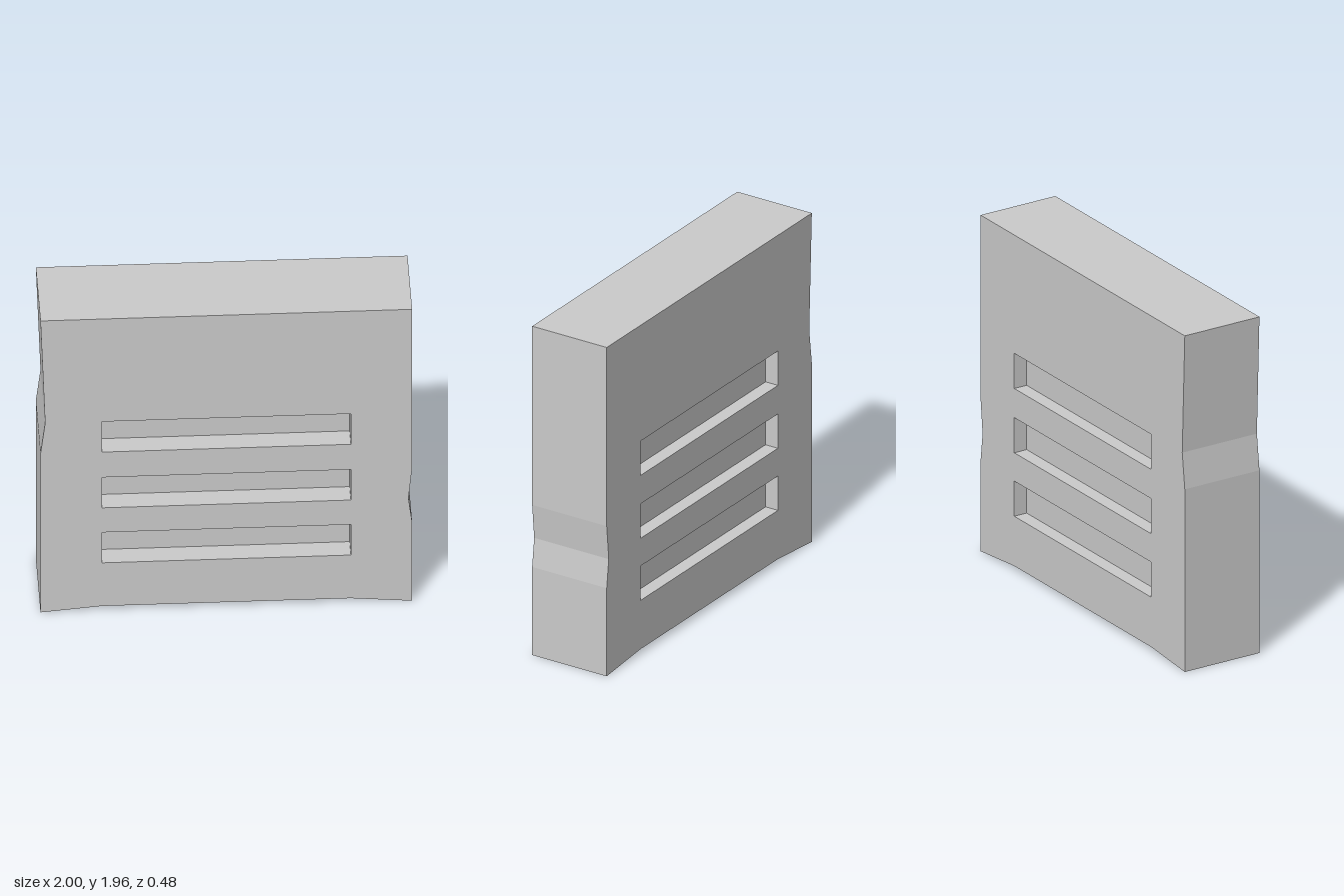
import * as THREE from 'three';

const HALF_DEPTH = 0.24;
const SLOT_HALF_WIDTH = 0.67;
const SLOTS = [[0.32, 0.525], [0.69, 0.895], [1.065, 1.27]]; // bottom, top
const FRONT_FLOOR = 0.12;  // z of the recess floors
const BACK_FLOOR = -0.16;

export function createModel() {
  const group = new THREE.Group();
  group.name = 'slottedSlab';
  const material = new THREE.MeshStandardMaterial({ color: 0xcccccc, flatShading: true });

  // Slab outline with worn sides and a hollowed underside
  const outline = new THREE.Shape([
    [-1, 0], [-0.67, 0.03], [0.67, 0.03], [1, 0],
    [1, 0.525], [0.98, 0.69], [1, 0.895], [1, 1.96],
    [-1, 1.96], [-0.975, 1.27], [-1, 1.065],
  ].map(([x, y]) => new THREE.Vector2(x, y)));

  for (const [bottom, top] of SLOTS) {
    outline.holes.push(new THREE.Path([
      new THREE.Vector2(-SLOT_HALF_WIDTH, bottom),
      new THREE.Vector2(-SLOT_HALF_WIDTH, top),
      new THREE.Vector2(SLOT_HALF_WIDTH, top),
      new THREE.Vector2(SLOT_HALF_WIDTH, bottom),
    ]));
  }

  const slabGeometry = new THREE.ExtrudeGeometry(outline, { depth: 2 * HALF_DEPTH, bevelEnabled: false });
  slabGeometry.translate(0, 0, -HALF_DEPTH);
  const slab = new THREE.Mesh(slabGeometry, material);
  slab.name = 'slab';
  group.add(slab);

  // Recess floors closing each slot, front and back
  SLOTS.forEach(([bottom, top], i) => {
    const floorGeometry = new THREE.PlaneGeometry(2 * SLOT_HALF_WIDTH, top - bottom);
    for (const [side, z, turn] of [['front', FRONT_FLOOR, 0], ['back', BACK_FLOOR, Math.PI]]) {
      const floor = new THREE.Mesh(floorGeometry, material);
      floor.name = `${side}SlotFloor${i + 1}`;
      floor.position.set(0, (bottom + top) / 2, z);
      floor.rotation.y = turn;
      group.add(floor);
    }
  });

  return group;
}
